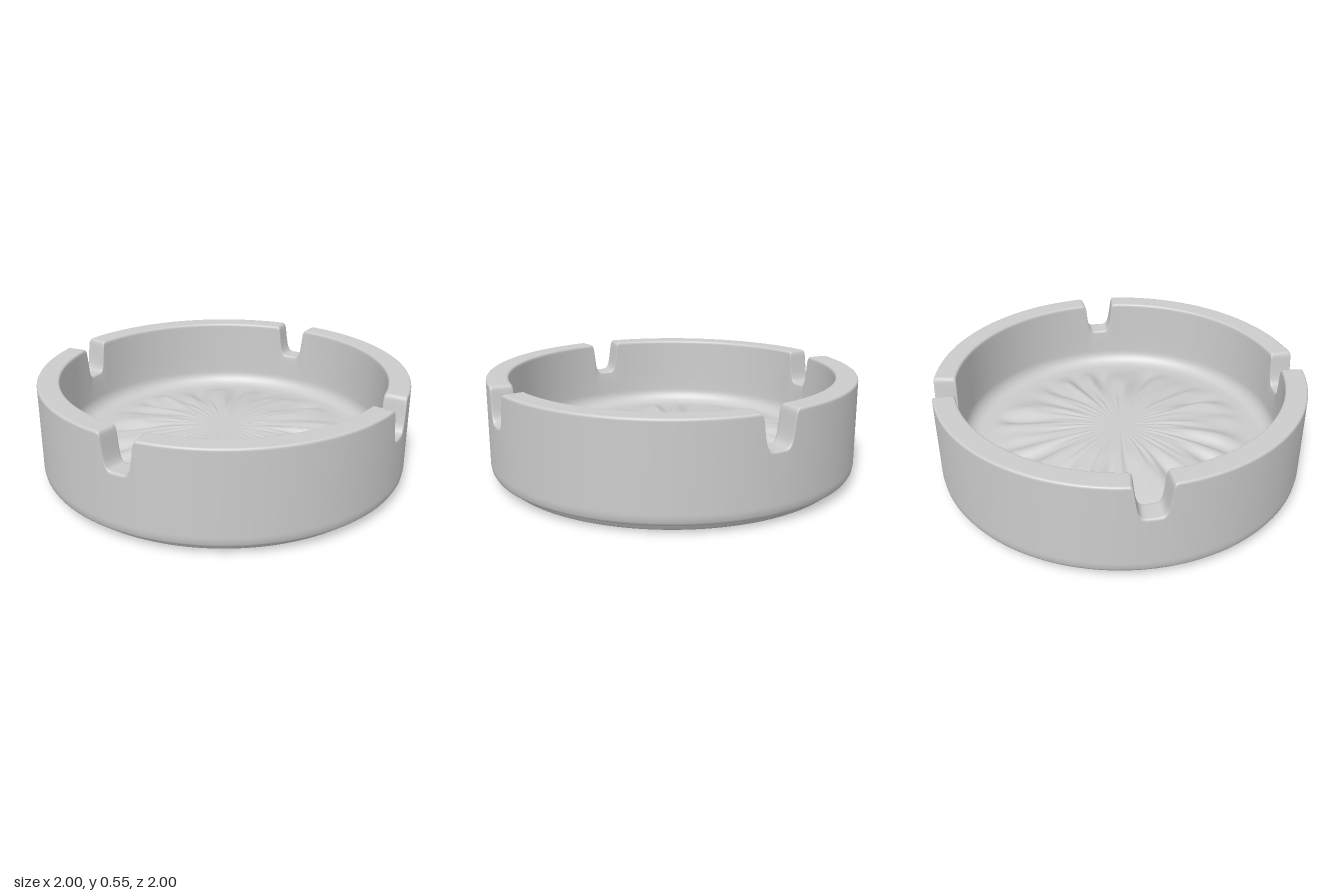
import * as THREE from 'three';

const FULL = Math.PI * 2;
const smooth = THREE.MathUtils.smoothstep;

// Closed sweep: one column of [radius, height] points per angle.
function sweep(angles, columnAt) {
  const pos = [], index = [];
  let rows = 0;
  for (const a of angles) {
    const col = columnAt(a);
    rows = col.length;
    for (const [r, y] of col) pos.push(r * Math.sin(a), y, r * Math.cos(a));
  }
  const n = angles.length;
  for (let i = 0; i < n; i++) {
    for (let j = 0; j < rows - 1; j++) {
      const a = i * rows + j, b = ((i + 1) % n) * rows + j;
      index.push(a, b, b + 1, a, b + 1, a + 1);
    }
  }
  const g = new THREE.BufferGeometry();
  g.setAttribute('position', new THREE.Float32BufferAttribute(pos, 3));
  g.setIndex(index);
  g.computeVertexNormals();
  return g;
}

// Half outline of a rim notch: [angle from its middle, rim height]
const TOP = 0.545;
const NOTCH = [[0, 0.36], [0.03, 0.36], [0.046, 0.363], [0.058, 0.372], [0.067, 0.388],
  [0.074, 0.41], [0.081, 0.45], [0.087, 0.495], [0.091, 0.522], [0.095, 0.535], [0.102, 0.543], [0.112, TOP]];
const TURN = 0.008;

function rimHeight(angle) {
  const q = Math.PI / 2;
  let u = angle - TURN;
  u = Math.abs(u - Math.round(u / q) * q);
  for (let i = 1; i < NOTCH.length; i++) {
    const [u0, y0] = NOTCH[i - 1], [u1, y1] = NOTCH[i];
    if (u <= u1) return y0 + (y1 - y0) * (u - u0) / (u1 - u0);
  }
  return TOP;
}

// Columns are packed closely at the four notches
function wallAngles() {
  const half = NOTCH.map(p => p[0]);
  const steps = [...half.slice(1).reverse().map(u => -u), ...half];
  const edge = half[half.length - 1], span = Math.PI / 2 - 2 * edge, count = 32;
  for (let i = 1; i < count; i++) steps.push(edge + span * i / count);
  const out = [];
  for (let k = 0; k < 4; k++) for (const s of steps) out.push(TURN + k * Math.PI / 2 + s);
  return out;
}

// Cross-section from the base edge, up the outside, over the rim and down to the floor
const FLOOR_EDGE = 0.145;
function wallColumn(angle) {
  const t = rimHeight(angle);
  const bevel = 0.012;
  const col = [[0.915, 0], [0.92, 0], [0.935, 0.003], [0.945, 0.012], [0.952, 0.028], [0.96, 0.036],
    [0.975, 0.039], [0.988, 0.046], [0.996, 0.06], [1, 0.085], [1, 0.1], [1, 0.32], [1, t - bevel - 0.006]];
  for (let i = 0; i <= 4; i++) {
    const a = i / 4 * Math.PI / 2;
    col.push([1 - bevel + bevel * Math.cos(a), t - bevel + bevel * Math.sin(a)]);
  }
  col.push([0.98, t], [0.902, t]);
  for (let i = 0; i <= 4; i++) {
    const a = i / 4 * Math.PI / 2;
    col.push([0.882 + bevel - bevel * Math.sin(a), t - bevel + bevel * Math.cos(a)]);
  }
  col.push([0.881, t - bevel - 0.006], [0.877, 0.3]);
  for (let i = 0; i <= 8; i++) {
    const a = i / 8 * Math.PI / 2;
    col.push([0.8 + 0.073 * Math.cos(a), FLOOR_EDGE + 0.08 * (1 - Math.sin(a))]);
  }
  return col;
}

// Low mound of irregular radial folds, ending in peaks before a smooth outer channel
function floorHeight(r, a) {
  const fine = Math.cos(37 * a + 0.6) + 0.8 * Math.cos(53 * a + 2.1);
  const broad = Math.cos(19 * a + 1.4 * Math.sin(3 * a) + 0.6 * Math.sin(r * 9)) +
    0.7 * Math.cos(11 * a + 1.7 + 3 * r) + 0.5 * Math.cos(27 * a + 5 * r);
  const reach = 0.03 * Math.sin(7 * a + 1) + 0.03 * Math.sin(12 * a);
  const swell = smooth(r, 0.2, 0.62 + reach) * (1 - smooth(r, 0.56 + reach, 0.77));
  const centre = smooth(r, 0.02, 0.3) * (1 - smooth(r, 0.25, 0.6));
  const base = FLOOR_EDGE + 0.07 * (1 - smooth(r, 0.2, 0.8));
  return base + 0.013 * swell * (broad + 0.8) + 0.002 * centre * fine;
}

function floorColumn(a) {
  const col = [], rows = 36;
  for (let j = 0; j <= rows; j++) {
    const r = 0.8 * (1 - j / rows);
    col.push([r, floorHeight(r, a)]);
  }
  return col;
}

export function createModel() {
  const group = new THREE.Group();
  group.name = 'ashtray';
  const material = new THREE.MeshStandardMaterial({ color: 0xcccccc });
  const add = (name, geometry) => {
    const mesh = new THREE.Mesh(geometry, material);
    mesh.name = name;
    group.add(mesh);
  };

  // Outer wall and notched rim
  add('notchedWall', sweep(wallAngles(), wallColumn));

  // Rippled inside floor, on the same columns as the wall's foot
  const angles = Array.from({ length: 360 }, (_, i) => i / 360 * FULL);
  add('rippledFloor', sweep(angles, floorColumn));

  // Flat underside
  add('base', new THREE.CircleGeometry(0.917, 128).rotateX(Math.PI / 2));
  return group;
}
